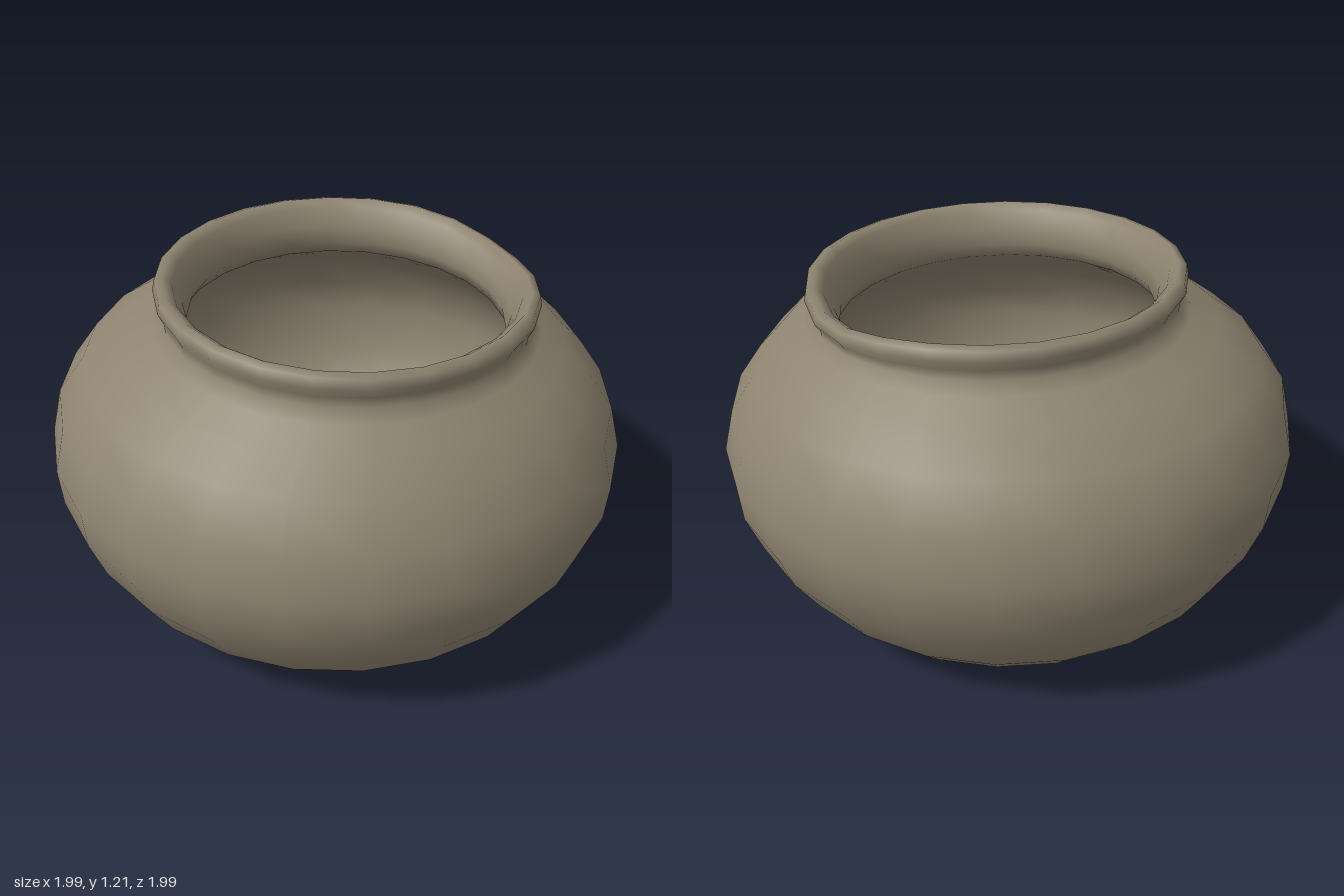
import * as THREE from 'three';
import { mergeVertices } from 'three/addons/utils/BufferGeometryUtils.js';

const SIDES = 24;

// Outer wall from the base up, over the lip, then down the inner wall to the floor
const PROFILE = [
  [0, 0], [0.3, 0.008], [0.5, 0.025], [0.68, 0.055], [0.76, 0.105], [0.85, 0.2],
  [0.935, 0.34], [0.985, 0.48], [0.995, 0.61], [0.955, 0.765], [0.865, 0.89],
  [0.75, 0.985], [0.655, 1.035], [0.622, 1.075], [0.625, 1.11], [0.642, 1.145],
  [0.635, 1.178], [0.608, 1.187], [0.578, 1.165], [0.548, 1.1], [0.536, 1.04],
  [0.56, 0.99], [0.68, 0.92], [0.8, 0.82], [0.88, 0.7], [0.905, 0.58],
  [0.88, 0.4], [0.78, 0.23], [0.62, 0.13], [0.35, 0.095], [0, 0.085],
];

// Hand-formed irregularity: off-centre neck, gentle tilt and a dip in the lip
function handForm(geometry) {
  const p = geometry.attributes.position;
  const dipAngle = Math.atan2(-0.22, 0.6);
  for (let i = 0; i < p.count; i++) {
    const x = p.getX(i), y = p.getY(i), z = p.getZ(i);
    const neck = THREE.MathUtils.smoothstep(y, 0.85, 1.08);
    const lip = THREE.MathUtils.smoothstep(y, 1.03, 1.17);
    const tilt = Math.min(y, 1) * (-0.02 * x - 0.04 * z);
    const angle = Math.atan2(z, x) - dipAngle;
    const dip = -0.035 * lip * Math.exp(-((angle / 0.45) ** 2));
    p.setXYZ(i, x + 0.035 * neck, y + tilt + dip, z + 0.03 * neck);
  }
}

export function createModel() {
  const group = new THREE.Group();
  group.name = 'pot';

  const clay = new THREE.MeshStandardMaterial({ color: 0x8e8370 });
  clay.name = 'grey brown clay';

  const points = PROFILE.map(([r, y]) => new THREE.Vector2(r, y));
  let geometry = new THREE.LatheGeometry(points, SIDES);

  // Weld the seam so the shading is smooth all round
  geometry.deleteAttribute('uv');
  geometry.deleteAttribute('normal');
  geometry = mergeVertices(geometry, 1e-4);
  handForm(geometry);
  geometry.computeVertexNormals();

  const pot = new THREE.Mesh(geometry, clay);
  pot.name = 'potBody';
  group.add(pot);
  return group;
}
